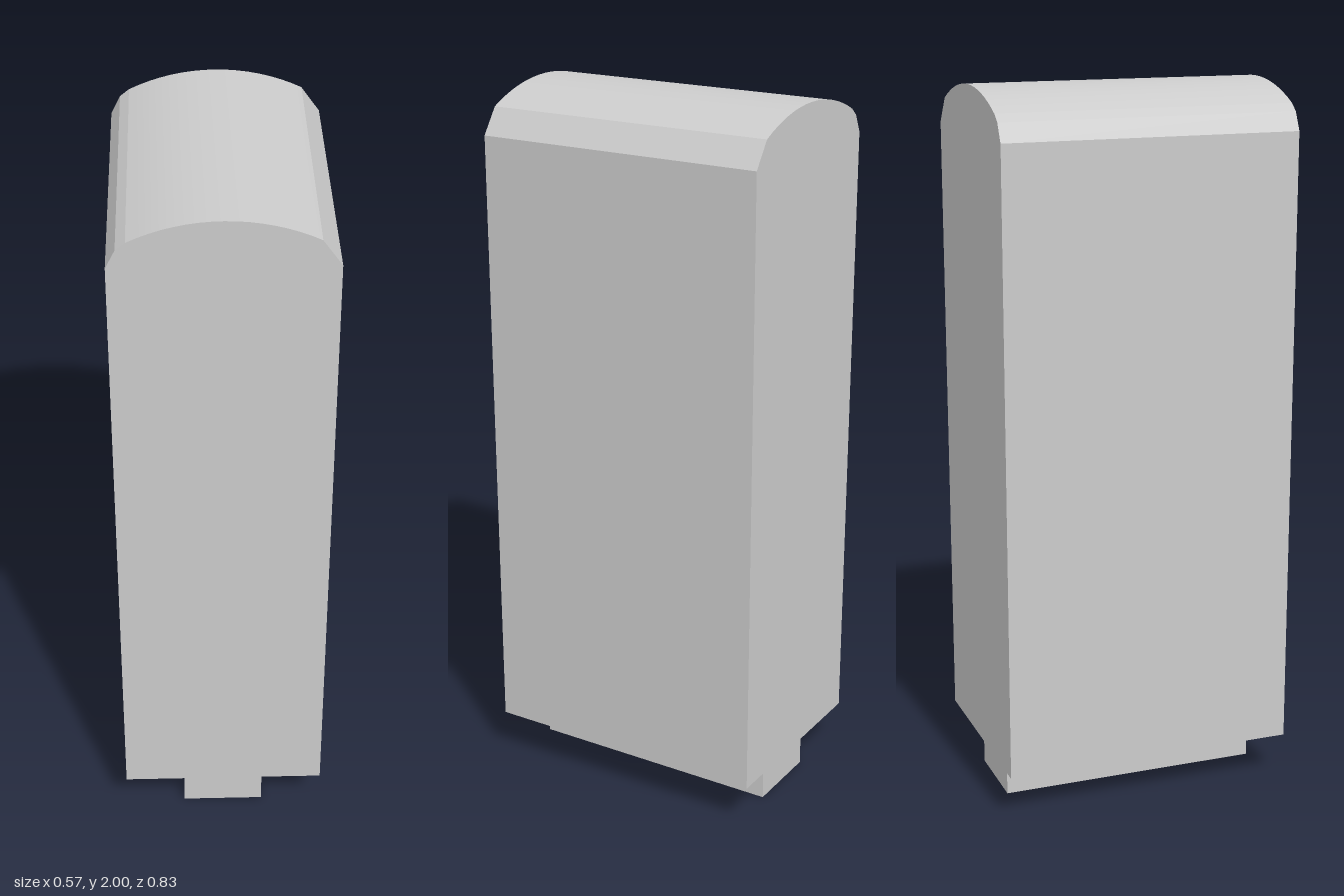
import * as THREE from 'three';
import { toCreasedNormals } from 'three/addons/utils/BufferGeometryUtils.js';

const BASE = 0.13, HALF_W = 0.285, DEPTH = 0.83;

export function createModel() {
  const group = new THREE.Group();
  const material = new THREE.MeshStandardMaterial({ color: 0xcccccc });

  // Upright slab with a crowned top: one chamfered shoulder, one two-step shoulder
  const profile = new THREE.Shape();
  profile.moveTo(-HALF_W, BASE);
  profile.lineTo(HALF_W, BASE);
  profile.lineTo(HALF_W, 1.875);
  const archX = 0.235, radius = 0.53, segments = 16;
  const half = Math.asin(archX / radius);
  for (let i = 0; i <= segments; i++) {
    const a = half * (1 - (2 * i) / segments);
    profile.lineTo(radius * Math.sin(a), 2 - radius * (1 - Math.cos(a)));
  }
  profile.lineTo(-0.26, 1.925);
  profile.lineTo(-HALF_W, 1.875);
  profile.closePath();

  const slab = new THREE.ExtrudeGeometry(profile, { depth: DEPTH, bevelEnabled: false });
  slab.translate(0, 0, -DEPTH / 2);
  const body = new THREE.Mesh(toCreasedNormals(slab, 0.2), material);
  body.name = 'body';
  group.add(body);

  // Narrow plinth under the slab
  const foot = new THREE.Mesh(new THREE.BoxGeometry(0.23, BASE, 0.75), material);
  foot.name = 'foot';
  foot.position.y = BASE / 2;
  group.add(foot);

  return group;
}
